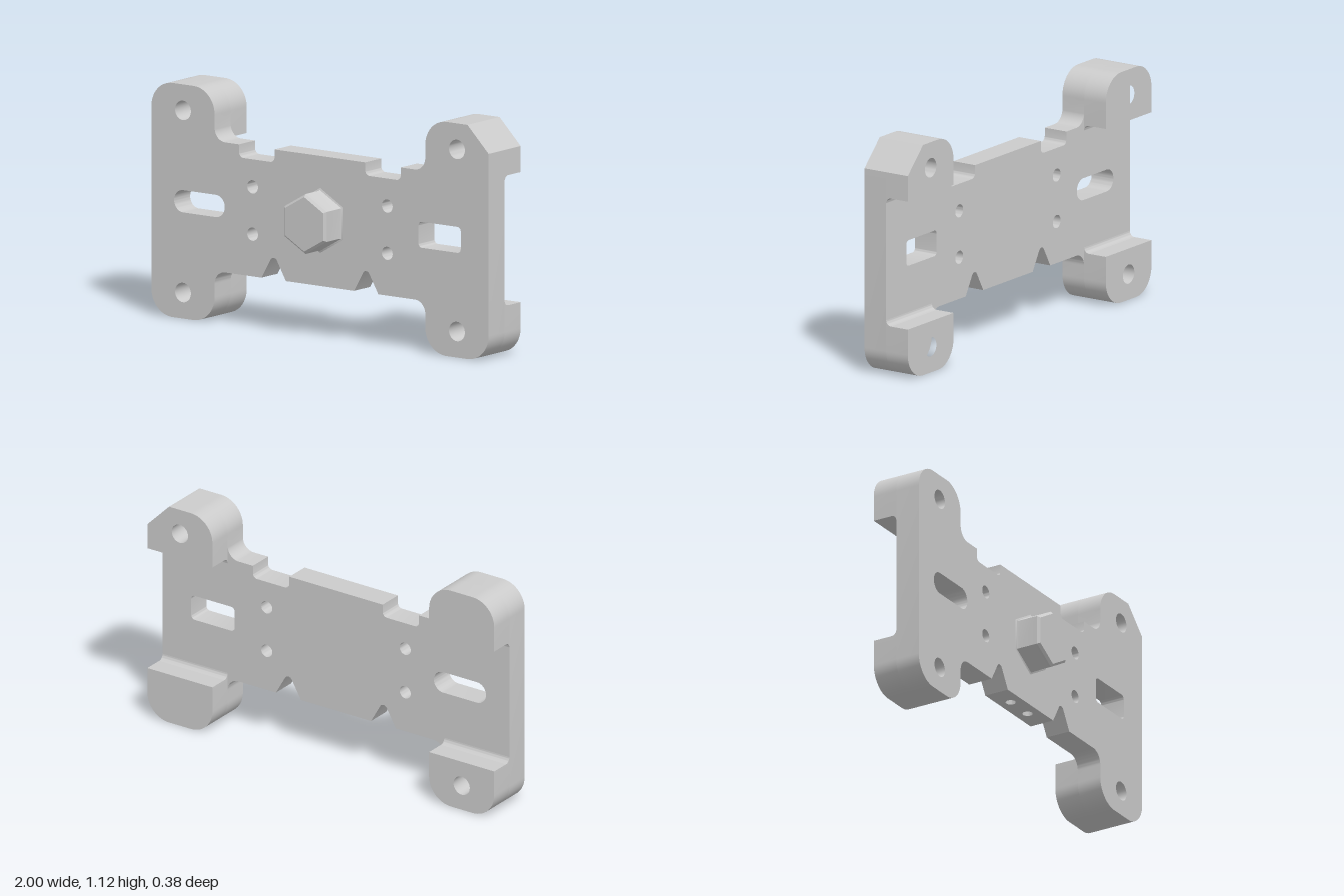
import * as THREE from 'three';
import { toCreasedNormals } from 'three/addons/utils/BufferGeometryUtils.js';

const material = new THREE.MeshStandardMaterial({ color: 0xcccccc });
const FRONT = 0.0625, BACK = -0.0625, FOOT_BACK = -0.1875;

// Closed outline from [x, y, cornerRadius] points; each radius becomes an arc.
function roundedOutline(points, Type = THREE.Shape) {
  const path = new Type();
  const n = points.length;
  points.forEach(([x, y, r = 0], i) => {
    const p = new THREE.Vector2(x, y);
    const prev = points[(i + n - 1) % n], next = points[(i + 1) % n];
    const a = new THREE.Vector2(prev[0], prev[1]).sub(p).normalize();
    const b = new THREE.Vector2(next[0], next[1]).sub(p).normalize();
    const angle = Math.acos(a.dot(b));
    const t = r / Math.tan(angle / 2);
    const k = t - r * (4 / 3) * Math.tan((Math.PI - angle) / 4);
    const at = (dir, d) => p.clone().addScaledVector(dir, d);
    const s = at(a, t), c1 = at(a, k), c2 = at(b, k), e = at(b, t);
    if (i === 0) path.moveTo(s.x, s.y);
    else path.lineTo(s.x, s.y);
    if (r > 0) path.bezierCurveTo(c1.x, c1.y, c2.x, c2.y, e.x, e.y);
  });
  path.closePath();
  return path;
}

function roundHole(x, y, r) {
  const hole = new THREE.Path();
  hole.absarc(x, y, r, 0, Math.PI * 2, true);
  return hole;
}

function slot(x0, x1, y0, y1, r) {
  return roundedOutline([[x0, y0, r], [x0, y1, r], [x1, y1, r], [x1, y0, r]], THREE.Path);
}

function extrude(shape, depth) {
  return new THREE.ExtrudeGeometry(shape, { depth, bevelEnabled: false, curveSegments: 14 });
}

function addMesh(group, name, geometry) {
  const mesh = new THREE.Mesh(toCreasedNormals(geometry, 0.5), material);
  mesh.name = name;
  group.add(mesh);
}

export function createModel() {
  const model = new THREE.Group();
  model.name = 'mountingBracket';

  // Front plate with legs, edge notches and a pocket for the drilled block
  const plate = roundedOutline([
    [-1, 0, 0.125], [-0.625, 0, 0.125], [-0.625, 0.25, 0.0625],
    [-0.347, 0.25], [-0.275, 0.375, 0.022], [-0.203, 0.25],
    [-0.13, 0.25], [-0.13, 0.35], [0.13, 0.35], [0.13, 0.25],
    [0.203, 0.25], [0.275, 0.375, 0.022], [0.347, 0.25],
    [0.625, 0.25, 0.0625], [0.625, 0, 0.125], [1, 0, 0.125],
    [1, 1], [0.875, 1.125], [0.625, 1.125, 0.125], [0.625, 0.875, 0.0625],
    [0.48, 0.875], [0.48, 0.8125, 0.025], [0.27, 0.8125, 0.025], [0.27, 0.875],
    [-0.27, 0.875], [-0.27, 0.8125, 0.025], [-0.48, 0.8125, 0.025], [-0.48, 0.875],
    [-0.625, 0.875, 0.0625], [-0.625, 1.125, 0.125], [-1, 1.125, 0.125],
  ]);
  for (const s of [-1, 1]) {
    for (const y of [0.125, 1]) plate.holes.push(roundHole(s * 0.8125, y, 0.047));
    for (const y of [0.453, 0.68]) plate.holes.push(roundHole(s * 0.4, y, 0.032));
  }
  plate.holes.push(slot(-0.865, -0.565, 0.51, 0.617, 0.0534));
  plate.holes.push(slot(0.585, 0.835, 0.503, 0.628, 0.02));
  addMesh(model, 'plate', extrude(plate, FRONT - BACK).translate(0, 0, BACK));

  // Block filling the pocket, with two blind holes in the bottom edge
  const block = roundedOutline([[-0.13, BACK], [0.13, BACK], [0.13, FRONT], [-0.13, FRONT]]);
  for (const s of [-1, 1]) block.holes.push(roundHole(s * 0.075, 0, 0.025));
  addMesh(model, 'drilledBlock', extrude(block, 0.1).rotateX(Math.PI / 2).translate(0, 0.35, 0));

  // Four feet behind the legs, each with a fillet where it meets the plate
  for (const s of [-1, 1]) {
    for (const top of [false, true]) {
      const inner = s * 0.625, outer = s;
      const edge = top ? 0.875 : 0.25, end = top ? 1.125 : 0;
      const outerCorner = top && s > 0 ? [[1, 1], [0.875, 1.125]] : [[outer, end, 0.125]];
      const foot = roundedOutline([[outer, edge], ...outerCorner, [inner, end, 0.125], [inner, edge]]);
      foot.holes.push(roundHole(s * 0.8125, top ? 1 : 0.125, 0.047));
      const side = (top ? 'upper' : 'lower') + (s > 0 ? 'Left' : 'Right');
      addMesh(model, side + 'Foot', extrude(foot, BACK - FOOT_BACK).translate(0, 0, FOOT_BACK));

      // Fillet section in (-z, y), swept along x
      const d = top ? -0.027 : 0.027, q = -BACK;
      const fillet = new THREE.Shape();
      fillet.moveTo(q, edge);
      fillet.lineTo(q + 0.027, edge);
      fillet.bezierCurveTo(q + 0.012, edge, q, edge + d * 0.45, q, edge + d);
      fillet.closePath();
      const strip = extrude(fillet, 0.375).rotateY(Math.PI / 2);
      addMesh(model, side + 'Fillet', strip.translate(Math.min(inner, outer), 0, 0));
    }
  }

  // Hexagonal boss with a chamfered face and a slight flare at its base
  const profile = [[0.156, 0.0625], [0.147, 0.066], [0.144, 0.074], [0.144, 0.176], [0.131, 0.1875], [0, 0.1875]]
    .map(([r, z]) => new THREE.Vector2(r, z));
  const boss = new THREE.LatheGeometry(profile, 6).rotateX(Math.PI / 2).translate(0, 0.565, 0);
  addMesh(model, 'hexBoss', boss);

  return model;
}
